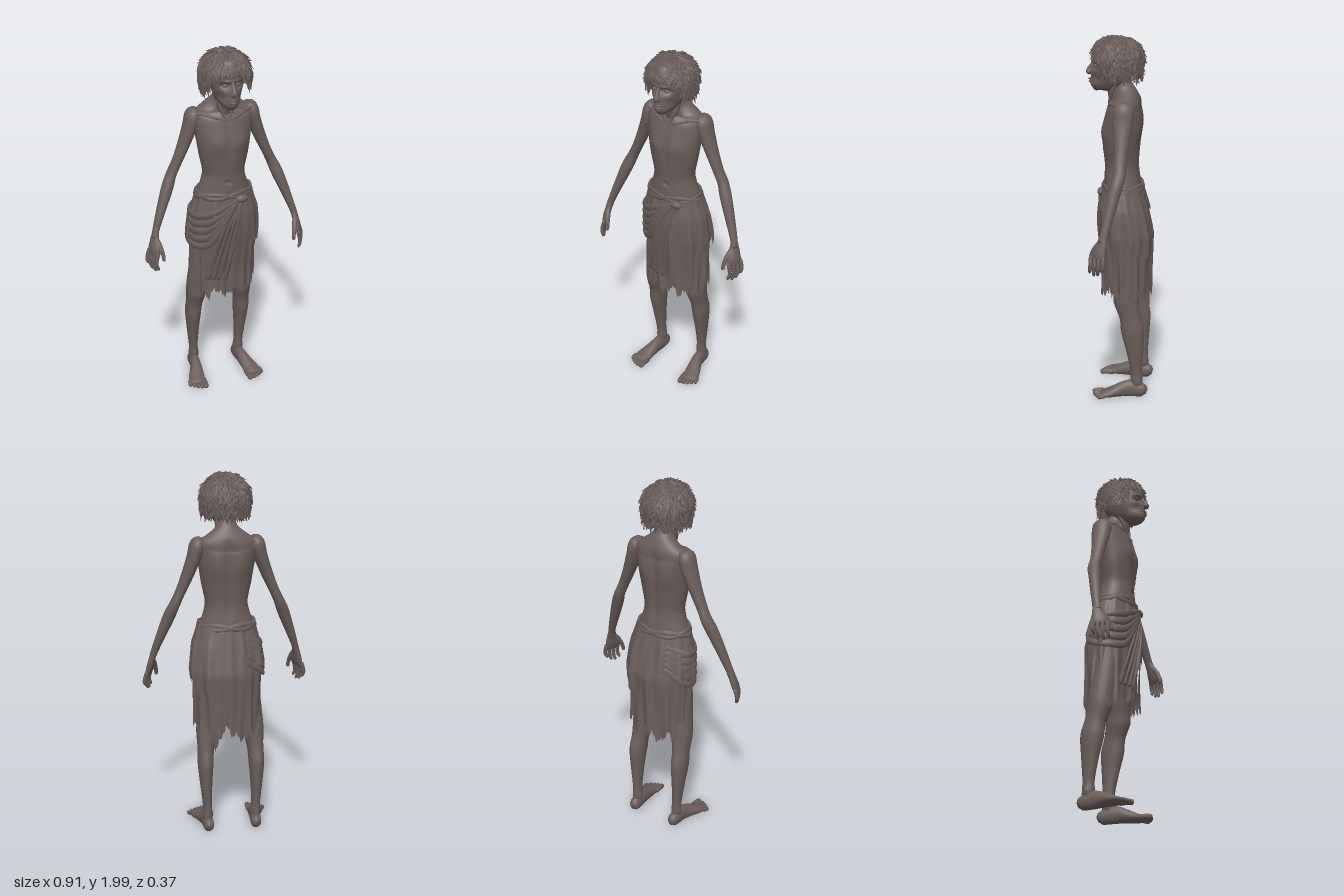
import * as THREE from 'three';
import { mergeGeometries } from 'three/addons/utils/BufferGeometryUtils.js';

const V = (x, y, z) => new THREE.Vector3(x, y, z);
const X = V(1, 0, 0), Y = V(0, 1, 0);
const bell = (d, w) => Math.exp(-((d / w) ** 2));
const step = THREE.MathUtils.smoothstep;

let seed = 7;
const rand = () => (seed = (seed * 16807) % 2147483647) / 2147483647;

// Grid of points (rows x cols) to a surface; closed rings also get end caps
function skin(points, rows, cols, closed) {
  const pos = [], index = [];
  points.forEach(p => pos.push(p.x, p.y, p.z));
  for (let i = 0; i < rows - 1; i++) for (let j = 0; j < (closed ? cols : cols - 1); j++) {
    const k = (j + 1) % cols, a = i * cols, b = a + cols;
    index.push(a + j, a + k, b + j, a + k, b + k, b + j);
  }
  if (closed) [0, rows - 1].forEach((r, end) => {
    const c = V(0, 0, 0), n = pos.length / 3;
    for (let j = 0; j < cols; j++) c.add(points[r * cols + j]);
    c.divideScalar(cols);
    pos.push(c.x, c.y, c.z);
    for (let j = 0; j < cols; j++) {
      const a = r * cols + j, b = r * cols + (j + 1) % cols;
      end ? index.push(a, b, n) : index.push(b, a, n);
    }
  });
  const g = new THREE.BufferGeometry();
  g.setAttribute('position', new THREE.Float32BufferAttribute(pos, 3));
  g.setIndex(index);
  g.computeVertexNormals();
  return g;
}

// Oval sections [x, y, z, width, depth] swept along a smooth path
function sweep(sections, rows = 24, cols = 16, ref = X, shape = null) {
  const path = new THREE.CatmullRomCurve3(sections.map(s => V(s[0], s[1], s[2])), false, 'catmullrom');
  const size = new THREE.CatmullRomCurve3(sections.map(s => V(s[3], s[4] ?? s[3], 0)), false, 'catmullrom');
  const points = [];
  for (let i = 0; i < rows; i++) {
    const t = i / (rows - 1), c = path.getPoint(t), dir = path.getTangent(t), r = size.getPoint(t);
    const side = ref.clone().addScaledVector(dir, -ref.dot(dir)).normalize();
    const up = dir.clone().cross(side);
    for (let j = 0; j < cols; j++) {
      const q = j / cols * Math.PI * 2;
      const p = c.clone().addScaledVector(side, Math.max(r.x, 0.001) * Math.cos(q))
        .addScaledVector(up, Math.max(r.y, 0.001) * Math.sin(q));
      if (shape) shape(p);
      points.push(p);
    }
  }
  return skin(points, rows, cols, true);
}

// Waist-cloth body: angle 0 is the front, +90 degrees is the left side
const cloth = [[1.23, .14, .1, -.004], [1.18, .152, .105, -.008], [1.08, .176, .124, -.014],
  [.93, .186, .141, -.032], [.75, .181, .128, -.036], [.5, .178, .126, -.038]];
function onCloth(a, y, out = 0) {
  let i = 0;
  while (i < cloth.length - 2 && y < cloth[i + 1][0]) i++;
  const p = cloth[i], q = cloth[i + 1], t = THREE.MathUtils.clamp((p[0] - y) / (p[0] - q[0]), 0, 1);
  const m = k => p[k] + (q[k] - p[k]) * t;
  return V((m(1) + out) * Math.sin(a), y, m(3) + (m(2) + out) * Math.cos(a));
}
const ragged = a => .022 * Math.sin(9 * a) + .018 * Math.sin(23 * a + 1) + .02 * Math.abs(Math.sin(31 * a)) ** 3;

function drape(a0, a1, top, hem, out, fold, cols) {
  const rows = 28, points = [];
  for (let i = 0; i < rows; i++) for (let j = 0; j < cols; j++) {
    const a = a0 + (a1 - a0) * j / (cols - 1), t = i / (rows - 1);
    const y = top(a) + (hem(a) - top(a)) * t;
    const wave = Math.sin(11 * a + 6 * y) + .6 * Math.sin(19 * a - 3 * y + 1);
    points.push(onCloth(a, y, out(a, y) + fold * (.15 + .85 * t) * wave));
  }
  return skin(points, rows, cols, false);
}

// Hair mass: th runs from the crown down
function hairAt(a, th, out = 0) {
  const r = Math.sin(Math.min(th, 1.65)) - .12 * Math.max(0, th - 1.65);
  return V((.129 + out) * r * Math.sin(a), 1.865 + (.122 + out) * Math.cos(th), .022 + (.133 + out) * r * Math.cos(a));
}
const hairline = a => 1.2 + 1.06 * step(Math.abs(a), .6, 1.3);

export function createModel() {
  const model = new THREE.Group();
  const brown = new THREE.MeshStandardMaterial({ color: 0x6a5e5b, side: THREE.DoubleSide });
  brown.name = 'umberBrown';
  const add = (name, geo, parent = model) => {
    const m = new THREE.Mesh(geo, brown);
    m.name = name;
    parent.add(m);
    return m;
  };
  const ball = (name, x, y, z, rx, ry, rz) => {
    const m = add(name, new THREE.SphereGeometry(1, 16, 12));
    m.position.set(x, y, z);
    m.scale.set(rx, ry, rz);
  };

  // Lean torso with sloping shoulders, chest, ribs, navel, spine and shoulder blades
  add('torso', sweep([[0, 1.76, .005, .045, .05], [0, 1.715, -.012, .062, .054], [0, 1.675, -.025, .115, .064],
    [0, 1.645, -.026, .158, .078], [0, 1.6, -.015, .165, .092], [0, 1.5, -.004, .149, .104], [0, 1.41, 0, .135, .1],
    [0, 1.31, -.002, .116, .092], [0, 1.25, -.003, .125, .095], [0, 1.19, -.006, .143, .099],
    [0, 1.1, -.01, .15, .1], [0, .98, -.02, .14, .09]], 72, 56, X, p => {
    const x = Math.abs(p.x);
    if (p.z < -.03) {
      p.z += .012 * bell(p.x, .018) * step(p.y, 1.15, 1.3) * (1 - step(p.y, 1.6, 1.68));
      p.z -= .012 * bell(x - .075, .035) * bell(p.y - 1.53, .07);
    } else if (p.z > .03) {
      p.z += .01 * bell(x - .07, .045) * bell(p.y - 1.49, .05) - .007 * bell(p.x, .012) * step(p.y, 1.3, 1.42);
      p.z += .003 * Math.sin(p.y * 190 + x * 30) * bell(x - .08, .04) * bell(p.y - 1.38, .07);
      p.z -= .012 * bell(x - .075, .035) * bell(p.y - 1.655, .018);
      p.z -= .016 * bell(p.x, .013) * bell(p.y - 1.265, .008);
    }
  }));
  add('neck', sweep([[0, 1.6, -.01, .055, .06], [0, 1.67, .01, .048, .055], [0, 1.73, .025, .048, .058], [0, 1.8, .03, .05, .06]]));
  ball('throat', 0, 1.685, .062, .01, .022, .012);

  // Head
  add('head', sweep([[0, 1.985, .02, .02, .03], [0, 1.95, .02, .07, .1], [0, 1.9, .032, .085, .124],
    [0, 1.85, .038, .085, .12], [0, 1.8, .058, .08, .108], [0, 1.76, .088, .065, .085],
    [0, 1.73, .108, .05, .064], [0, 1.71, .115, .032, .045], [0, 1.703, .115, .006, .008]], 60, 48, X, p => {
    if (p.z < .06) return;
    const x = Math.abs(p.x);
    p.z -= .016 * bell(x - .036, .02) * bell(p.y - 1.837, .014);
    p.z += .007 * bell(x - .035, .03) * bell(p.y - 1.862, .01);
    p.z += .008 * bell(x - .055, .018) * bell(p.y - 1.81, .016);
    p.z -= .01 * bell(x - .05, .018) * bell(p.y - 1.77, .02);
    p.z += .018 * bell(x, .014) * bell(p.y - 1.808, .022);
  }));
  add('nose', sweep([[0, 1.86, .149, .007], [0, 1.84, .156, .009, .011], [0, 1.815, .17, .012, .015],
    [0, 1.8, .174, .018, .016], [0, 1.788, .168, .012, .009]], 18, 14));
  for (const lip of [1.762, 1.748])
    add('lip', sweep([[-.028, lip - .003, .148, .002], [-.015, lip, .164, .005], [0, lip, .171, .006],
      [.015, lip, .164, .005], [.028, lip - .003, .148, .002]], 16, 8, Y));

  // Hair cap and loose locks
  const cap = [];
  for (let i = 0; i < 18; i++) for (let j = 0; j < 64; j++) {
    const a = (j / 63 * 2 - 1) * Math.PI;
    cap.push(hairAt(a, .02 + hairline(a) * i / 17, .004 * Math.sin(13 * a + i)));
  }
  add('hairCap', skin(cap, 18, 64, false));
  const locks = [];
  for (let i = 0; i < 750; i++) {
    const a = (rand() * 2 - 1) * Math.PI, th = .08 + Math.sqrt(rand()) * (hairline(a) - .25), turn = (rand() - .5) * .5;
    const tip = .002 + rand() * .02, len = .25 + rand() * .33;
    const pts = [hairAt(a, th, 0), hairAt(a + turn / 2, th + len / 2, .004 + rand() * .007), hairAt(a + turn, th + len, tip)];
    locks.push(sweep(pts.map((p, k) => [p.x, p.y, p.z, [.005, .0075, .001][k], [.003, .004, .001][k]]),
      5, 5, V(Math.cos(a), 0, -Math.sin(a))));
  }
  add('hairLocks', mergeGeometries(locks));

  for (const s of [-1, 1]) {
    const side = s > 0 ? 'left' : 'right';
    // Face and collar details
    ball(side + 'Eye', s * .035, 1.836, .131, .016, .009, .011);
    ball(side + 'Ear', s * .087, 1.825, .035, .01, .032, .02);
    add(side + 'Collarbone', sweep([[s * .01, 1.618, .07, .006], [s * .06, 1.631, .06, .007],
      [s * .11, 1.646, .035, .007], [s * .165, 1.645, 0, .009]], 16, 10, Y));
    add(side + 'NeckCord', sweep([[s * .05, 1.76, .02, .012], [s * .035, 1.69, .05, .011], [s * .012, 1.62, .068, .006]], 14, 10));

    // Arm, hand and fingers
    const arm = new THREE.Group();
    arm.name = side + 'Arm';
    model.add(arm);
    const limb = (name, list, ...rest) => add(name, sweep(list.map(p => [s * p[0], ...p.slice(1)]), ...rest), arm);
    limb('armLength', [[.135, 1.66, -.03, .02, .03], [.157, 1.63, -.03, .042, .054], [.178, 1.56, -.03, .038, .053],
      [.215, 1.46, -.028, .032, .04], [.253, 1.37, -.026, .027, .033], [.283, 1.305, -.026, .028, .034],
      [.31, 1.24, -.01, .032, .033], [.352, 1.13, .013, .026, .028], [.388, 1.03, .033, .019, .023], [.402, .98, .045, .017, .024]], 48, 20);
    const flat = V(s, 0, .5).normalize();
    limb('palm', [[.395, 1.01, .038, .016, .02], [.404, .965, .05, .018, .032], [.412, .92, .064, .018, .043],
      [.416, .89, .07, .012, .04]], 16, 16, flat);
    for (let f = 0; f < 4; f++) {
      const z = .034 + f * .023, x = .432 - f * .011, end = [.825, .806, .8, .812][f];
      limb('finger', [[x, .91, z, .011], [x + .011, .87, z + .002, .011], [x + .012, (end + .87) / 2, z + .005, .01],
        [x + .004, end + .008, z + .008, .008], [x + .002, end, z + .008, .002]], 14, 8);
    }
    limb('thumb', [[.396, .98, .058, .013], [.384, .94, .088, .014], [.374, .9, .107, .011], [.372, .872, .113, .009], [.373, .865, .114, .002]], 14, 10);

    // Leg with kneecap and ankle bones, foot and toes
    const leg = new THREE.Group();
    leg.name = side + 'Leg';
    leg.position.x = s > 0 ? -.018 : -.01;
    model.add(leg);
    const part = (name, list, ...rest) => add(name, sweep(list.map(p => [s * p[0], ...p.slice(1)]), ...rest), leg);
    part('legLength', [[.085, .98, -.02, .075, .08], [.11, .76, -.022, .067, .072], [.133, .6, -.04, .058, .066],
      [.137, .54, -.048, .054, .064], [.143, .47, -.064, .045, .058], [.147, .39, -.079, .043, .064],
      [.146, .28, -.09, .034, .048], [.142, .16, -.098, .025, .033], [.14, .1, -.1, .026, .034], [.14, .03, -.105, .02, .03]], 56, 24, X, p => {
      if (p.z > -.06) p.z += .008 * bell(p.x - s * .137, .03) * bell(p.y - .55, .035);
      p.x += Math.sign(p.x - s * .14) * .006 * bell(p.y - .09, .018) * bell(p.z + .1, .015);
    });
    const grounded = p => { p.y = Math.max(p.y, .001); };
    part('foot', [[.138, .03, -.157, .012, .016], [.138, .036, -.138, .028, .036], [.141, .044, -.09, .03, .048],
      [.144, .046, -.055, .03, .048], [.152, .038, -.01, .036, .039], [.166, .025, .045, .045, .026],
      [.172, .018, .085, .046, .018], [.174, .014, .102, .036, .011]], 32, 20, X, grounded);
    for (let t = 0; t < 5; t++) {
      const x = .138 + t * .019 - (t ? 0 : .004), z = .145 - t * t * .002 - t * .002, r = t ? .011 : .015;
      part('toe', [[x, .018, .07, r], [x + .002, .018, z - .03, r], [x + .005, .013, z - .008, r], [x + .006, .01, z, r * .4]], 12, 8, X, grounded);
    }
  }

  // Ragged wrap and the layers over it
  const PI = Math.PI, waist = a => 1.195 + .012 * Math.cos(2 * a + 1);
  add('wrap', drape(-PI, PI, waist, a => .595 + ragged(a) - .06 * bell(a + .6, .12) - .08 * bell(Math.abs(a) - 2.7, .14)
    - .05 * bell(a - .05, .08), () => 0, .007, 260));
  add('leftOverlay', drape(.3, 3.0, waist, a => .93 - .13 * bell(a - 2.35, .4) - .08 * bell(a - 1, .35) + ragged(a),
    (a, y) => .004 + (.006 + .01 * step(1.2 - y, 0, .2)) * (1 - step(a, 2.5, 3)), .006, 130));
  add('rightDrape', drape(-3.7, .35, waist, a => 1.06 - .17 * bell(a + 1.6, .75) + ragged(a) * .4,
    (a, y) => .005 + .016 * bell(a + 1.7, .7) * bell(y - .97, .1), .006, 150));
  add('frontPanel', drape(.2, .75, a => 1.17, a => .6 + ragged(a), (a, y) => .01 + .006 * step(1.1 - y, 0, .4), .007, 50));

  // Twisted waist roll, knot and gathered folds
  const fold = (name, list, r, flat) => add(name, sweep(list.map(([a, y, o = .006]) => {
    const p = onCloth(a, y, o);
    return [p.x, p.y, p.z, r, r * flat];
  }), 40, 10, V(.1, 1, .2).normalize()));
  for (let k = 0; k < 2; k++) {
    const ring = [];
    for (let i = 0; i <= 24; i++) ring.push([i / 12 * PI, 1.185 + .012 * Math.sin(i * PI / 4 + k * PI), .002]);
    fold('waistRoll', ring, .015, .6);
  }
  ball('knot', .07, 1.165, .103, .035, .022, .018);
  for (let k = 0; k < 5; k++)
    fold('gatheredFold', [[.5, 1.17, .006], [.05 - k * .04, 1.14 - k * .025, .01], [-.6, 1.09 - k * .045, .01],
      [-1.2, 1.07 - k * .045, .012], [-1.9, 1.08 - k * .04, .012], [-2.6, 1.12 - k * .03, 0]], .019, .4);
  for (let k = 0; k < 4; k++)
    fold('hangingFold', [[.45, 1.15, .006], [.2 - k * .12, 1.0, .008], [.05 - k * .17, .82, .007], [-.08 - k * .2, .68, -.002]], .018, .45);

  return model;
}
